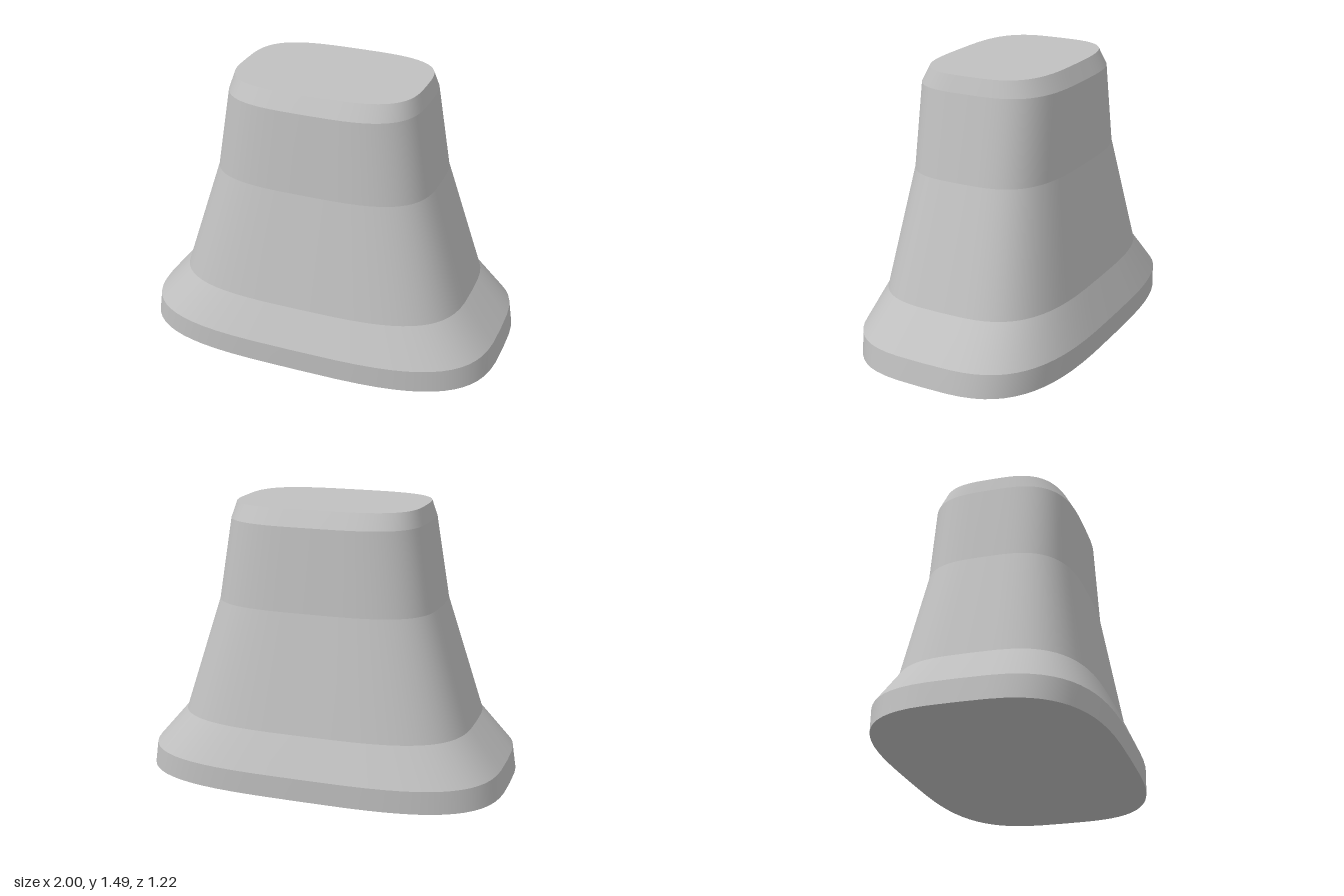
import * as THREE from 'three';

const SIDES = 64;
const EXPONENT = 3.3; // roundness of the rounded-rectangle outline

// height, half width (x), half depth (z)
const RINGS = [
  [0, 1.0, 0.605],
  [0.125, 0.98, 0.61],
  [0.33, 0.805, 0.52],
  [0.96, 0.605, 0.415],
  [1.405, 0.53, 0.395],
  [1.49, 0.505, 0.35],
];

// Points of one superellipse cross-section
function ringPoints([y, a, b]) {
  const points = [];
  const bulge = (v) => Math.sign(v) * Math.pow(Math.abs(v), 2 / EXPONENT);
  for (let i = 0; i < SIDES; i++) {
    const t = (i / SIDES) * Math.PI * 2;
    points.push(a * bulge(Math.cos(t)), y, b * bulge(Math.sin(t)));
  }
  return points;
}

function makeGeometry(positions, index) {
  const geometry = new THREE.BufferGeometry();
  geometry.setAttribute('position', new THREE.Float32BufferAttribute(positions, 3));
  geometry.setIndex(index);
  geometry.computeVertexNormals();
  return geometry;
}

// Wall between two rings, smooth around and creased at its rims
function band(lower, upper) {
  const index = [];
  for (let i = 0; i < SIDES; i++) {
    const j = (i + 1) % SIDES;
    index.push(i, SIDES + i, j, j, SIDES + i, SIDES + j);
  }
  return makeGeometry([...ringPoints(lower), ...ringPoints(upper)], index);
}

// Flat lid closing a ring
function cap(ring, facesUp) {
  const index = [];
  for (let i = 0; i < SIDES; i++) {
    const j = (i + 1) % SIDES;
    index.push(SIDES, ...(facesUp ? [j, i] : [i, j]));
  }
  return makeGeometry([...ringPoints(ring), 0, ring[0], 0], index);
}

export function createModel() {
  const model = new THREE.Group();
  model.name = 'flaredPedestal';
  const grey = new THREE.MeshStandardMaterial({ color: 0xc0c0c0 });
  grey.name = 'light grey';

  const add = (name, geometry) => {
    const mesh = new THREE.Mesh(geometry, grey);
    mesh.name = name;
    model.add(mesh);
  };

  // Stacked walls from foot to top bevel
  ['footRim', 'footSlope', 'flaredBody', 'neck', 'topBevel'].forEach((name, i) =>
    add(name, band(RINGS[i], RINGS[i + 1])));

  // Flat ends
  add('underside', cap(RINGS[0], false));
  add('topFace', cap(RINGS[RINGS.length - 1], true));
  return model;
}
